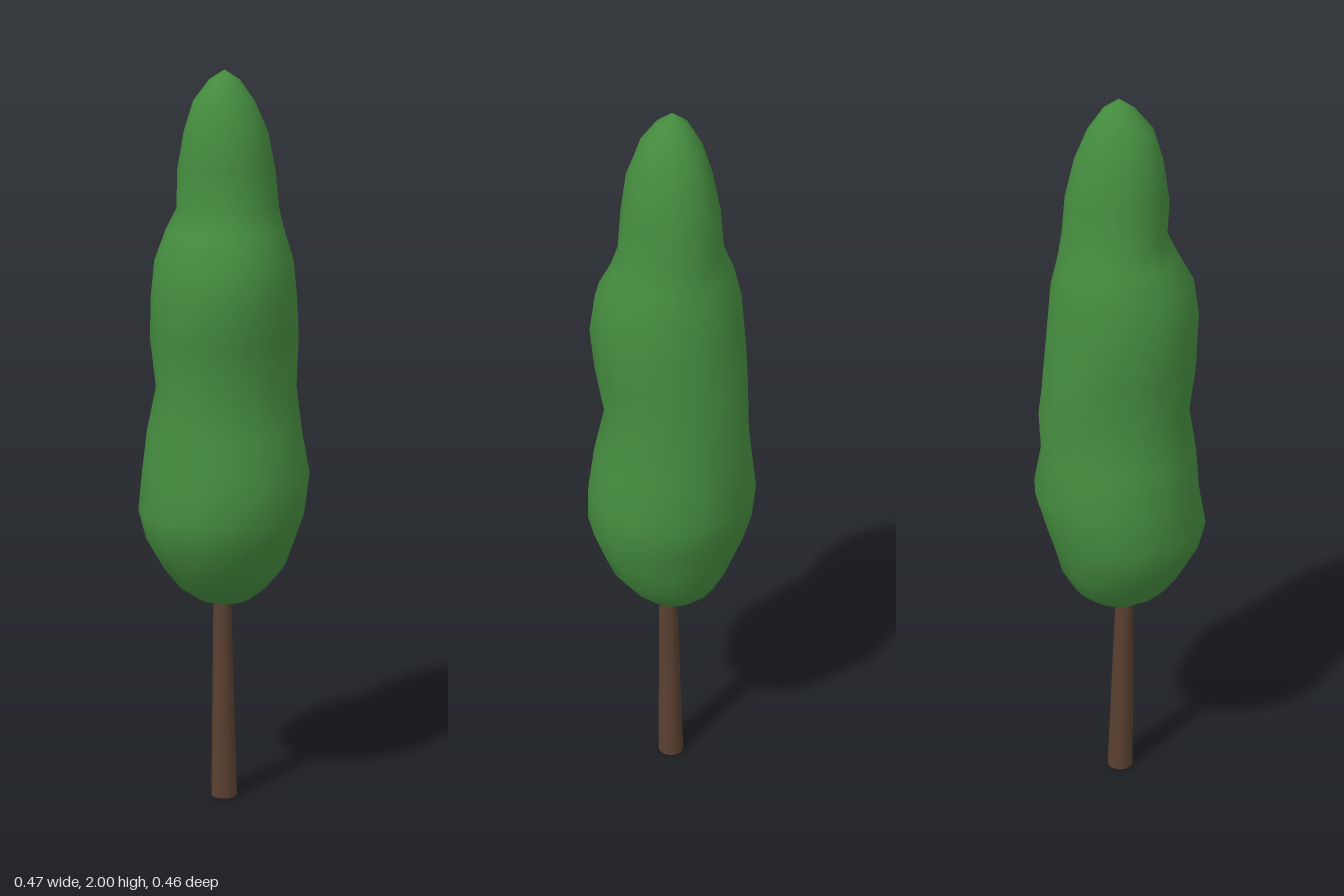
import * as THREE from 'three';

// Foliage sections: height, then reach towards +x, +z, -x and -z.
const SECTIONS = [
  [0.57, 0.08, 0.07, 0.07, 0.07],
  [0.61, 0.13, 0.12, 0.13, 0.13],
  [0.67, 0.17, 0.17, 0.18, 0.17],
  [0.74, 0.19, 0.2, 0.22, 0.21],
  [0.82, 0.21, 0.23, 0.24, 0.23],
  [0.92, 0.235, 0.23, 0.22, 0.23],
  [1.04, 0.21, 0.21, 0.21, 0.21],
  [1.16, 0.21, 0.18, 0.19, 0.18],
  [1.29, 0.2, 0.2, 0.205, 0.195],
  [1.4, 0.19, 0.2, 0.205, 0.19],
  [1.5, 0.18, 0.19, 0.195, 0.18],
  [1.58, 0.16, 0.16, 0.155, 0.16],
  [1.64, 0.15, 0.14, 0.125, 0.13],
  [1.74, 0.14, 0.13, 0.13, 0.12],
  [1.84, 0.115, 0.115, 0.115, 0.1],
  [1.92, 0.08, 0.08, 0.09, 0.075],
  [1.975, 0.04, 0.04, 0.04, 0.04],
];
const SIDES = 16;

// Local swellings and one hollow on the diagonals.
const BULGES = [
  { angle: 0.75 * Math.PI, y: 1.42, amount: 0.024 },
  { angle: 1.75 * Math.PI, y: 1.16, amount: 0.024 },
  { angle: 1.75 * Math.PI, y: 0.74, amount: -0.02 },
];

// Blend the four reaches around the section, then add the bulges.
function radiusAt([y, ...reach], angle) {
  const quarter = Math.floor(angle / (Math.PI / 2));
  const t = Math.sin(angle - quarter * (Math.PI / 2)) ** 2;
  let r = THREE.MathUtils.lerp(reach[quarter], reach[(quarter + 1) % 4], t);
  for (const b of BULGES) {
    const around = Math.max(0, Math.cos(angle - b.angle)) ** 6;
    r += b.amount * around * Math.exp(-(((y - b.y) / 0.11) ** 2));
  }
  return r;
}

// Closed skin through the sections, with a pole at each end.
function foliageGeometry() {
  const positions = [];
  const index = [];
  for (const section of SECTIONS) {
    for (let s = 0; s < SIDES; s++) {
      const a = (s / SIDES) * Math.PI * 2;
      const r = radiusAt(section, a);
      positions.push(r * Math.cos(a), section[0], r * Math.sin(a));
    }
  }
  const bottom = SECTIONS.length * SIDES;
  const top = bottom + 1;
  positions.push(0, 0.548, 0, 0, 2, 0);

  const last = (SECTIONS.length - 1) * SIDES;
  for (let s = 0; s < SIDES; s++) {
    const n = (s + 1) % SIDES;
    index.push(bottom, s, n, top, last + n, last + s);
    for (let k = 0; k < last; k += SIDES) {
      index.push(k + s, k + SIDES + s, k + n);
      index.push(k + n, k + SIDES + s, k + SIDES + n);
    }
  }
  const geometry = new THREE.BufferGeometry();
  geometry.setAttribute('position', new THREE.Float32BufferAttribute(positions, 3));
  geometry.setIndex(index);
  geometry.computeVertexNormals();
  return geometry;
}

// Tapered trunk, sheared so that its top leans slightly.
function trunkGeometry() {
  const height = 0.62;
  const geometry = new THREE.CylinderGeometry(0.024, 0.037, height, 12);
  geometry.translate(0, height / 2, 0);
  const p = geometry.attributes.position;
  for (let i = 0; i < p.count; i++) {
    const t = p.getY(i) / height;
    p.setX(i, p.getX(i) - 0.003 - 0.013 * t);
    p.setZ(i, p.getZ(i) + 0.002 + 0.004 * t);
  }
  return geometry;
}

export function createModel() {
  const tree = new THREE.Group();
  tree.name = 'tree';

  const trunk = new THREE.Mesh(trunkGeometry(), new THREE.MeshStandardMaterial({ color: 0x5a4030 }));
  trunk.name = 'trunk';

  const foliage = new THREE.Mesh(foliageGeometry(), new THREE.MeshStandardMaterial({ color: 0x458c3f }));
  foliage.name = 'foliage';

  tree.add(trunk, foliage);
  return tree;
}
